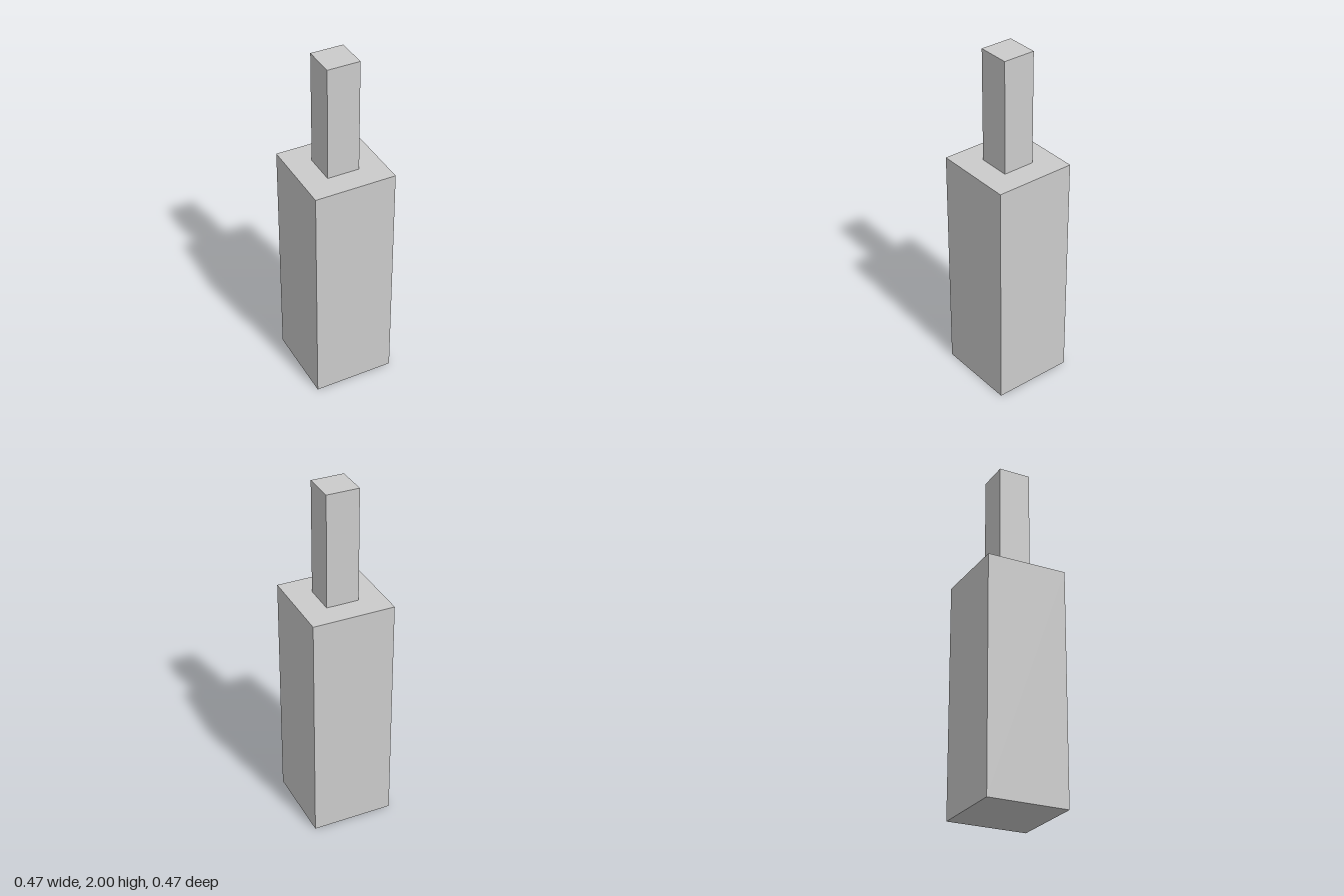
import * as THREE from 'three';

const material = new THREE.MeshStandardMaterial({ color: 0xcccccc, flatShading: true });

// Square block standing on the given height
function block(name, width, height, bottom) {
  const mesh = new THREE.Mesh(new THREE.BoxGeometry(width, height, width), material);
  mesh.name = name;
  mesh.position.y = bottom + height / 2;
  return mesh;
}

export function createModel() {
  const group = new THREE.Group();
  group.name = 'squareBottle';
  const bodyHeight = 1.35;
  group.add(
    block('body', 0.466, bodyHeight, 0),
    block('neck', 0.185, 2 - bodyHeight, bodyHeight)
  );
  return group;
}
